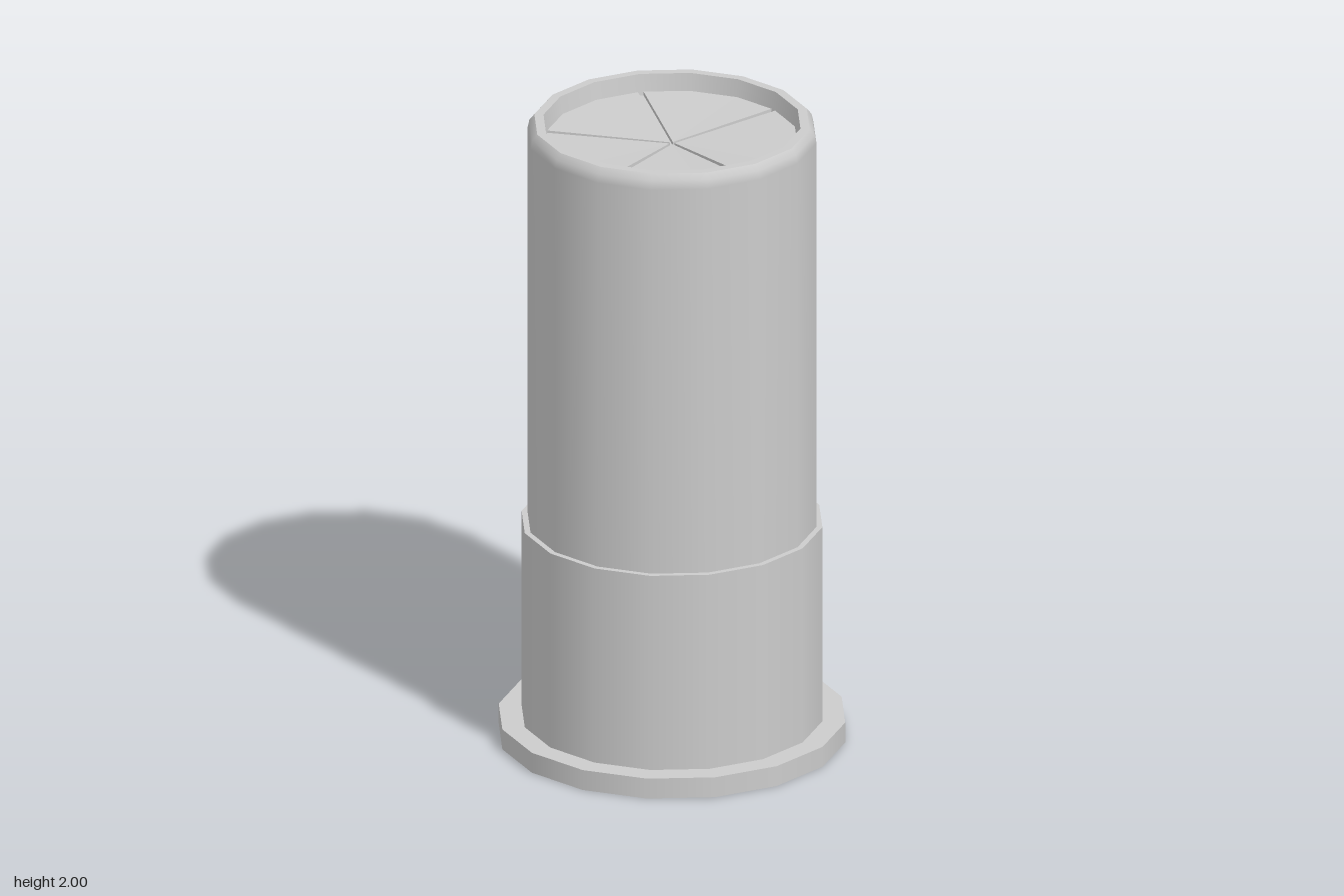
import * as THREE from 'three';
import { mergeGeometries } from 'three/addons/utils/BufferGeometryUtils.js';

const SIDES = 16;
const material = new THREE.MeshStandardMaterial({ color: 0xcccccc, side: THREE.DoubleSide });

// Revolves each profile separately, so that the edges between them stay sharp.
function revolve(name, profiles) {
  const lathes = profiles.map((profile) =>
    new THREE.LatheGeometry(profile.map(([r, y]) => new THREE.Vector2(r, y)), SIDES));
  const mesh = new THREE.Mesh(mergeGeometries(lathes), material);
  mesh.name = name;
  return mesh;
}

// Splits a polyline into one profile per segment.
function segments(points) {
  return points.slice(1).map((p, i) => [points[i], p]);
}

// Folded end: five shallow dished flaps, parted by narrow grooves.
function foldedEnd() {
  const radius = 0.384, rimY = 1.945, centreY = 1.93, depth = 0.012, halfWidth = 0.009;
  const step = (Math.PI * 2) / SIDES;
  const starts = [0, 3, 6, 9, 12, 16];
  const positions = [];
  const tri = (...pts) => pts.forEach((p) => positions.push(p.x, p.y, p.z));
  const quad = (a, b, c, d) => { tri(a, b, c); tri(a, c, d); };
  const at = (angle, r, y) => new THREE.Vector3(Math.cos(angle) * r, y, -Math.sin(angle) * r);
  const lower = (p) => p.clone().setY(p.y - depth);
  const offset = halfWidth / radius;

  const flaps = [];
  for (let i = 0; i < 5; i++) {
    const a = starts[i] * step, b = starts[i + 1] * step;
    const tip = at((a + b) / 2, 0.008, centreY);
    const rim = [at(a + offset, radius, rimY)];
    for (let k = starts[i] + 1; k < starts[i + 1]; k++) rim.push(at(k * step, radius, rimY));
    rim.push(at(b - offset, radius, rimY));
    for (let k = 1; k < rim.length; k++) tri(tip, rim[k - 1], rim[k]);
    flaps.push({ tip, first: rim[0], last: rim[rim.length - 1] });
  }
  flaps.forEach((flap, i) => {
    const next = flaps[(i + 1) % 5];
    // groove walls, groove floor and its share of the centre
    quad(flap.tip, flap.last, lower(flap.last), lower(flap.tip));
    quad(next.first, next.tip, lower(next.tip), lower(next.first));
    quad(lower(flap.tip), lower(flap.last), lower(next.first), lower(next.tip));
    tri(at(0, 0, centreY - depth), lower(flap.tip), lower(next.tip));
  });

  const geometry = new THREE.BufferGeometry();
  geometry.setAttribute('position', new THREE.Float32BufferAttribute(positions, 3));
  geometry.computeVertexNormals();
  const mesh = new THREE.Mesh(geometry, material);
  mesh.name = 'foldedEnd';
  return mesh;
}

export function createModel() {
  const model = new THREE.Group();
  model.name = 'cartridge';

  // base flange, with the groove wall around the primer
  model.add(revolve('baseFlange', segments([
    [0.205, 0.015], [0.205, 0], [0.53, 0], [0.53, 0.065], [0.46, 0.065],
  ])));

  // primer cap and the groove floor around it
  model.add(revolve('primer', segments([
    [0, 0], [0.16, 0], [0.16, 0.015], [0.205, 0.015],
  ])));

  // metal cup
  model.add(revolve('metalCup', segments([[0.46, 0.065], [0.46, 0.7], [0.442, 0.7]])));

  // tube with rounded shoulder, flat lip and inner wall
  model.add(revolve('tube', [
    [[0.442, 0.7], [0.442, 1.955], [0.436, 1.982], [0.421, 2]],
    [[0.421, 2], [0.393, 2]],
    [[0.393, 2], [0.382, 1.925]],
  ]));

  model.add(foldedEnd());
  return model;
}
